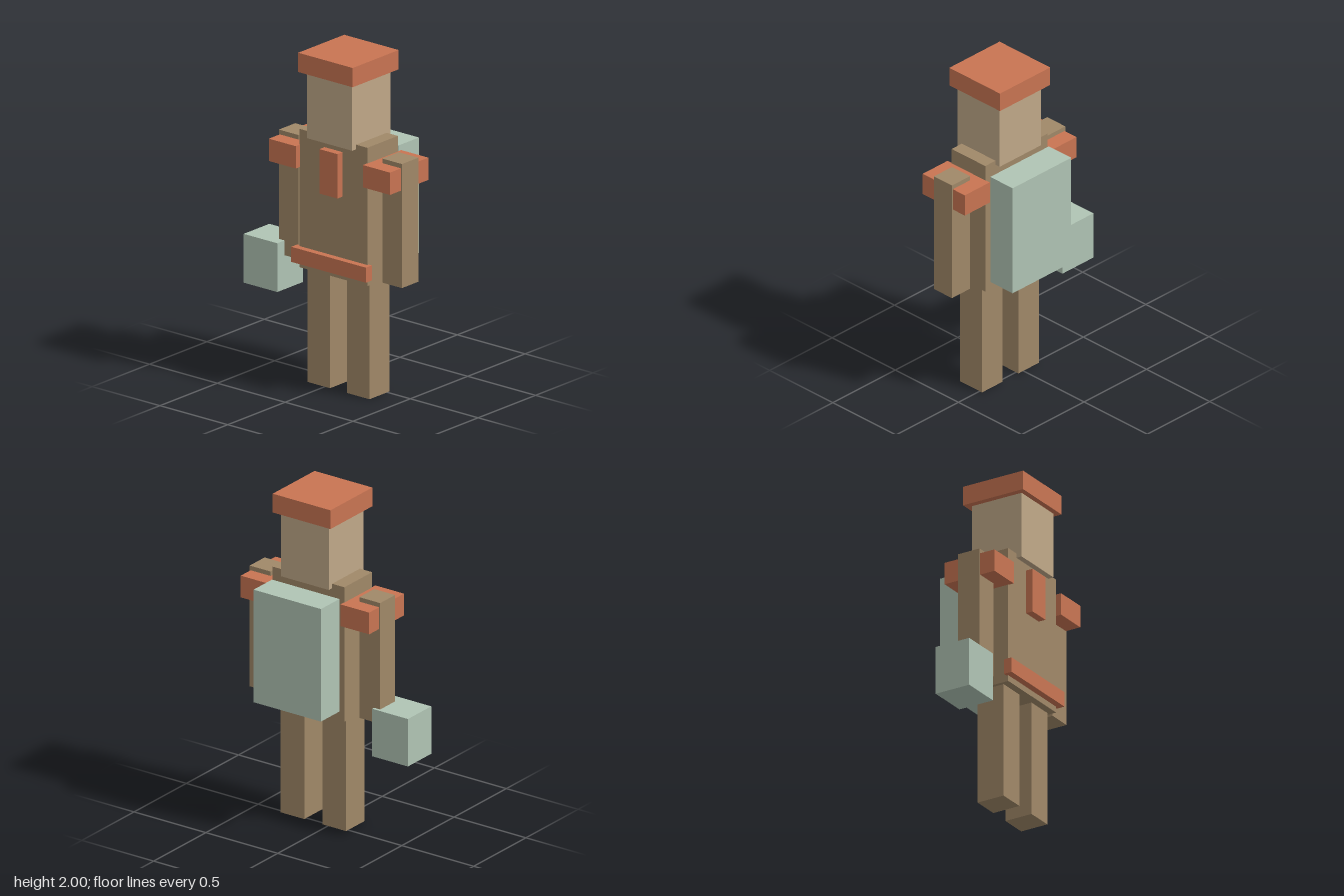
import * as THREE from 'three';

const paint = (color) => new THREE.MeshStandardMaterial({ color });

export function createModel() {
  const model = new THREE.Group();
  model.name = 'blockFigure';

  const cloth = paint(0xa08868);
  const skin = paint(0xc0a888);
  const red = paint(0xc87452);
  const green = paint(0xb0c4b4);

  // Box given by its [min, max] extent on each axis
  function block(name, material, x, y, z) {
    const size = [x, y, z].map(([a, b]) => b - a);
    const mesh = new THREE.Mesh(new THREE.BoxGeometry(...size), material);
    mesh.position.set(...[x, y, z].map(([a, b]) => (a + b) / 2));
    mesh.name = name;
    model.add(mesh);
  }

  // Body and head
  block('torso', cloth, [-0.148, 0.352], [0.692, 1.517], [-0.066, 0.2]);
  block('head', skin, [-0.063, 0.27], [1.49, 1.887], [-0.098, 0.235]);
  block('hat', red, [-0.1, 0.302], [1.885, 2], [-0.133, 0.268]);

  // Trim on the chest and waist
  block('chestBadge', red, [0.037, 0.17], [1.185, 1.45], [0.195, 0.245]);
  block('belt', red, [-0.175, 0.376], [0.728, 0.818], [0.188, 0.24]);

  // Limbs and shoulder guards, mirrored about the body's own centre line
  const centre = 0.102;
  for (const [side, s] of [['left', 1], ['right', -1]]) {
    const span = (a, b) => (s > 0 ? [centre + a, centre + b] : [centre - b, centre - a]);
    block(side + 'Leg', cloth, span(0.063, 0.228), [0, 0.692], [-0.019, 0.155]);
    block(side + 'Arm', cloth, span(0.309, 0.454), [0.71, 1.45], [-0.004, 0.139]);
    block(side + 'ShoulderGuard', red, span(0.247, 0.447), [1.29, 1.423], [-0.099, 0.235]);
  }

  // Carried items
  block('backpack', green, [-0.132, 0.337], [0.76, 1.45], [-0.268, -0.091]);
  block('handBag', green, [-0.558, -0.31], [0.507, 0.798], [-0.022, 0.202]);

  return model;
}
